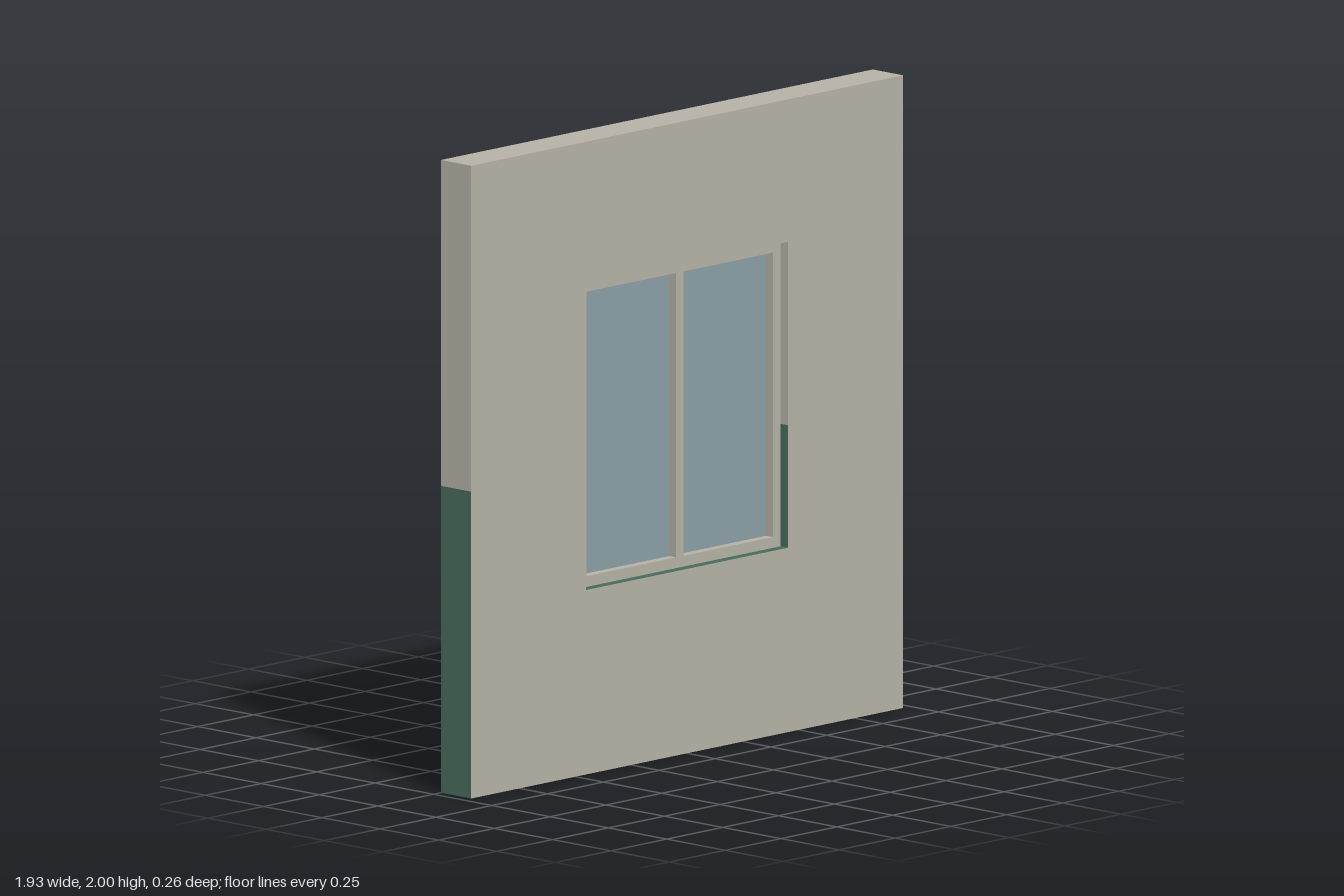
import * as THREE from 'three';

const material = (name, color) => new THREE.MeshStandardMaterial({ name, color });

// Main dimensions
const W = 0.967, H = 2, DEPTH = 0.13, SPLIT = 0.97;
const HOLE = { x: 0.452, bottom: 0.583, top: 1.55 };
const FRAME = 0.034, FRAME_DEPTH = 0.066, MID = DEPTH / 2;

export function createModel() {
  const plaster = material('plaster', 0xb5b1a5);
  const green = material('green paint', 0x476b5b);
  const glass = material('glass', 0x8a9fa6);
  const model = new THREE.Group();
  model.name = 'windowWall';

  const box = (parent, name, mat, x0, x1, y0, y1, z0, z1) => {
    const mesh = new THREE.Mesh(new THREE.BoxGeometry(x1 - x0, y1 - y0, z1 - z0), mat);
    mesh.position.set((x0 + x1) / 2, (y0 + y1) / 2, (z0 + z1) / 2);
    mesh.name = name;
    parent.add(mesh);
  };

  // Half of the wall: a U around the opening, from its outer edge to the paint line
  const wallHalf = (name, outerY, holeY, frontMat, otherMat) => {
    const shape = new THREE.Shape([
      [-W, outerY], [W, outerY], [W, SPLIT], [HOLE.x, SPLIT],
      [HOLE.x, holeY], [-HOLE.x, holeY], [-HOLE.x, SPLIT], [-W, SPLIT],
    ].map(([x, y]) => new THREE.Vector2(x, y)));
    const geometry = new THREE.ExtrudeGeometry(shape, { depth: DEPTH, bevelEnabled: false });
    // The front face may have a different paint from the back, ends and reveals
    geometry.clearGroups();
    const normal = geometry.attributes.normal;
    for (let i = 0; i < normal.count; i += 3) {
      geometry.addGroup(i, 3, normal.getZ(i) > 0.5 ? 0 : 1);
    }
    const mesh = new THREE.Mesh(geometry, [frontMat, otherMat]);
    mesh.name = name;
    model.add(mesh);
  };
  wallHalf('lowerWall', 0, HOLE.bottom, plaster, green);
  wallHalf('upperWall', H, HOLE.top, plaster, plaster);

  // Window frame with a central mullion, set in the middle of the opening
  const windowGroup = new THREE.Group();
  windowGroup.name = 'window';
  model.add(windowGroup);
  const z0 = MID - FRAME_DEPTH / 2, z1 = MID + FRAME_DEPTH / 2;
  const inX = HOLE.x - FRAME, inBottom = HOLE.bottom + FRAME, inTop = HOLE.top - FRAME;
  const mullion = FRAME / 2;
  box(windowGroup, 'frameBottom', plaster, -HOLE.x, HOLE.x, HOLE.bottom, inBottom, z0, z1);
  box(windowGroup, 'frameTop', plaster, -HOLE.x, HOLE.x, inTop, HOLE.top, z0, z1);
  box(windowGroup, 'mullion', plaster, -mullion, mullion, inBottom, inTop, z0, z1);
  box(windowGroup, 'frameRight', plaster, -HOLE.x, -inX, inBottom, inTop, z0, z1);
  box(windowGroup, 'frameLeft', plaster, inX, HOLE.x, inBottom, inTop, z0, z1);
  box(windowGroup, 'paneRight', glass, -inX, -mullion, inBottom, inTop, MID - 0.003, MID + 0.003);
  box(windowGroup, 'paneLeft', glass, mullion, inX, inBottom, inTop, MID - 0.003, MID + 0.003);

  // Sill board projecting from the back face
  box(model, 'sill', plaster, -0.485, 0.485, 0.56, HOLE.bottom, -DEPTH, 0);
  return model;
}
